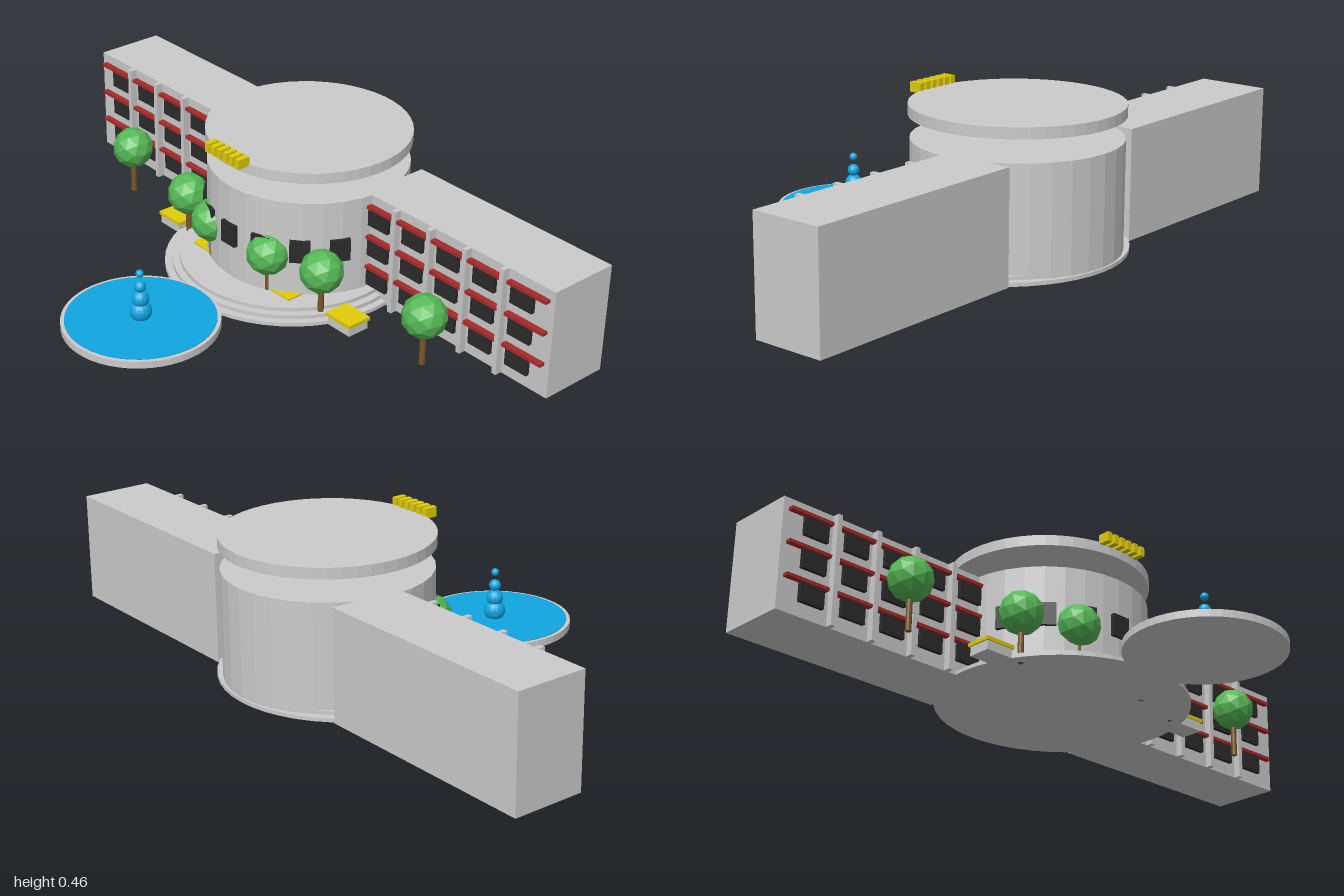
import * as THREE from 'three';

const mat = (color) => new THREE.MeshStandardMaterial({ color, flatShading: true });

export function createModel() {
  const model = new THREE.Group();
  const grey = mat(0xcccccc), dark = mat(0x2b2b2b), red = mat(0xa82a2a), yellow = mat(0xe0cc08);
  const green = mat(0x55b855), brown = mat(0x7a5526), blue = mat(0x10a5e0);

  function add(name, geo, material, x, y, z, parent = model) {
    const mesh = new THREE.Mesh(geo, material);
    mesh.name = name;
    mesh.position.set(x, y, z);
    parent.add(mesh);
    return mesh;
  }
  // Box and disc given by their bottom height
  const box = (name, m, w, h, d, x, y, z, parent) =>
    add(name, new THREE.BoxGeometry(w, h, d), m, x, y + h / 2, z, parent);
  const disc = (name, m, r, h, y, z, sides = 32) =>
    add(name, new THREE.CylinderGeometry(r, r, h, sides), m, 0, y + h / 2, z);

  // Central drum, floating roof disc and round steps
  const drumZ = -0.28, drumR = 0.305;
  disc('drum', grey, drumR, 0.335, 0, drumZ);
  disc('roofDisc', grey, 0.309, 0.033, 0.402, drumZ, 48);
  [0.38, 0.358, 0.335].forEach((r, i) => disc('step', grey, r, 0.0115 * (i + 1), 0, -0.21, 48));

  // Windows around the front of the drum
  for (let i = -3; i <= 3; i++) {
    const a = (i * 22 * Math.PI) / 180;
    const pane = box('drumWindow', dark, 0.06, 0.07, 0.02,
      Math.sin(a) * drumR, 0.145, drumZ + Math.cos(a) * drumR);
    pane.rotation.y = a;
  }

  // Row of plain blocks on the roof edge
  for (let i = 0; i < 6; i++) {
    box('roofBlock', yellow, 0.017, 0.03, 0.04, (i - 2.5) * 0.027, 0.428, 0.036);
  }

  // Wings with pilasters, windows and red sills
  const wallZ = -0.254;
  for (const side of [-1, 1]) {
    const wing = new THREE.Group();
    wing.name = side < 0 ? 'rightWing' : 'leftWing';
    model.add(wing);
    box('wingBody', grey, 0.72, 0.335, 0.222, side * 0.64, 0, wallZ - 0.111, wing);
    for (let bay = 0; bay < 5; bay++) {
      const x = side * (0.893 - bay * 0.138);
      box('pilaster', grey, 0.015, 0.335, 0.022, x - side * 0.066, 0, wallZ + 0.011, wing);
      for (let floor = 0; floor < 3; floor++) {
        const y = 0.042 + floor * 0.099;
        box('window', dark, 0.08, 0.055, 0.012, x, y, wallZ + 0.006, wing);
        box('redBand', red, bay === 0 ? 0.14 : 0.122, 0.01, 0.018,
          x + (bay === 0 ? side * 0.02 : 0), y + 0.056, wallZ + 0.009, wing);
      }
    }
  }

  // Trees and benches, mirrored
  for (const side of [-1, 1]) {
    for (const [x, z] of [[0.663, -0.118], [0.305, -0.062], [0.128, -0.012]]) {
      const tree = new THREE.Group();
      tree.name = 'tree';
      tree.position.set(side * x, 0, z);
      model.add(tree);
      add('trunk', new THREE.CylinderGeometry(0.009, 0.009, 0.12, 10), brown, 0, 0.06, 0, tree);
      add('crown', new THREE.IcosahedronGeometry(0.066, 1), green, 0, 0.155, 0, tree);
    }
    for (const [x, z] of [[0.39, -0.09], [0.17, -0.052]]) {
      box('benchBase', grey, 0.09, 0.028, 0.072, side * x, 0, z);
      box('benchSeat', yellow, 0.1, 0.011, 0.08, side * x, 0.028, z);
    }
  }

  // Pool with a fountain of stacked balls
  const poolZ = 0.358;
  disc('poolBasin', grey, 0.232, 0.022, 0, poolZ, 48);
  disc('poolWater', blue, 0.221, 0.004, 0.02, poolZ, 48);
  for (const [r, y] of [[0.033, 0.045], [0.026, 0.086], [0.018, 0.126], [0.012, 0.168]]) {
    add('fountainBall', new THREE.SphereGeometry(r, 16, 12), blue, 0, y, poolZ);
  }
  return model;
}
